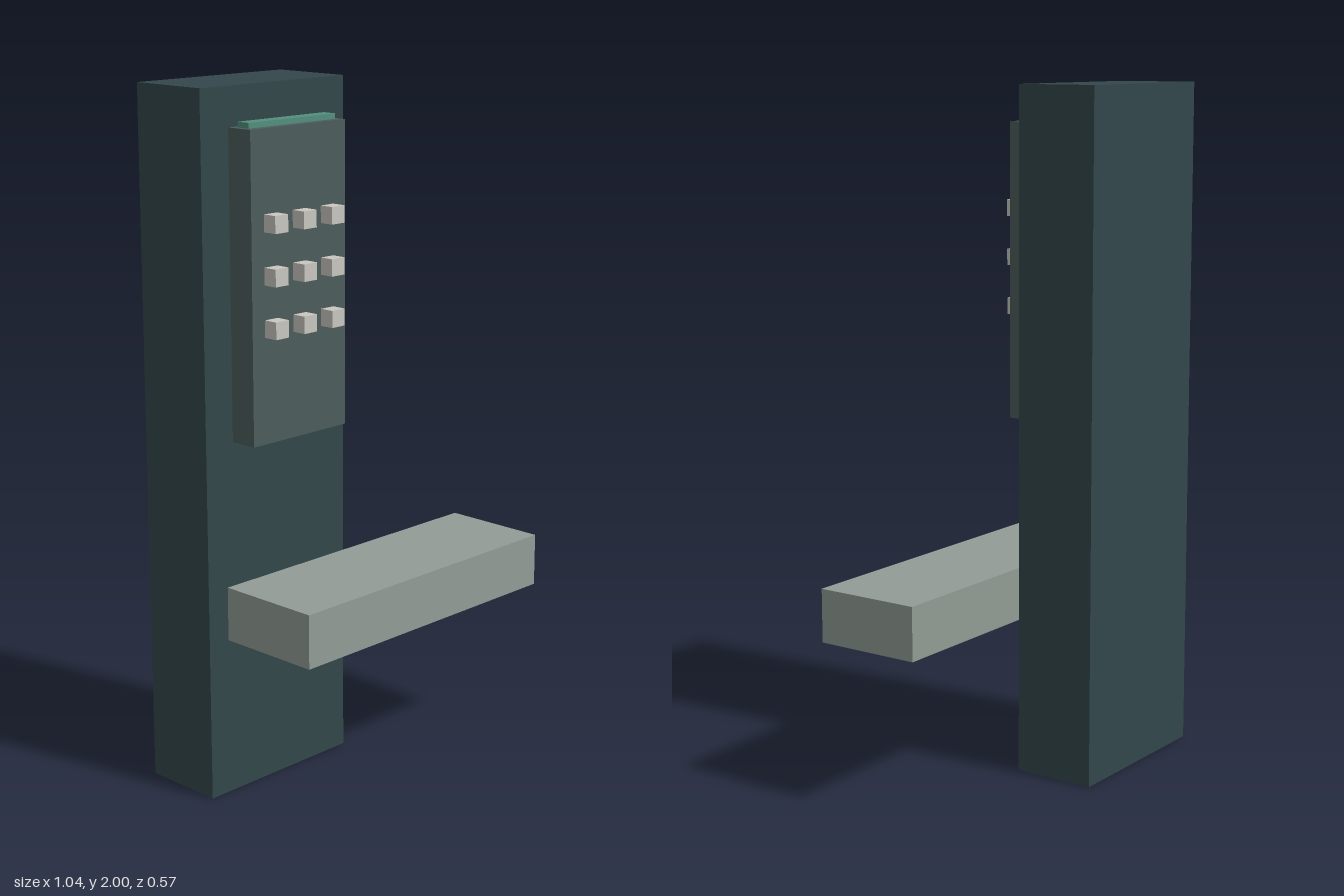
import * as THREE from 'three';

const paint = (color) => new THREE.MeshStandardMaterial({ color });

// Box from its lower and upper bounds on each axis
function block(name, [x0, x1], [y0, y1], [z0, z1], material) {
  const mesh = new THREE.Mesh(new THREE.BoxGeometry(x1 - x0, y1 - y0, z1 - z0), material);
  mesh.position.set((x0 + x1) / 2, (y0 + y1) / 2, (z0 + z1) / 2);
  mesh.name = name;
  return mesh;
}

export function createModel() {
  const model = new THREE.Group();
  model.name = 'keypadDoorLock';

  // Tall back plate and the lever that reaches past its side
  model.add(block('backPlate', [-0.518, 0.016], [0, 2], [-0.284, -0.036], paint(0x33474b)));
  model.add(block('leverHandle', [-0.447, 0.518], [0.46, 0.616], [-0.036, 0.284], paint(0x929c95)));

  // Keypad panel standing just clear of the plate, with a strip along its top
  const keypad = new THREE.Group();
  keypad.name = 'keypad';
  keypad.add(block('keypadPanel', [-0.43, -0.075], [1.036, 1.893], [-0.024, 0.06], paint(0x4c5d5b)));
  keypad.add(block('topStrip', [-0.413, -0.09], [1.85, 1.908], [-0.005, 0.037], paint(0x54907f)));

  // Three by three grid of keys
  const keyPaint = paint(0xcac7c0);
  const half = 0.024;
  for (let row = 0; row < 3; row++) {
    for (let col = 0; col < 3; col++) {
      const x = -0.253 + (col - 1) * 0.107;
      const y = 1.5 - (row - 1) * 0.143;
      keypad.add(block(`key${row * 3 + col + 1}`, [x - half, x + half], [y - half, y + half], [0.055, 0.103], keyPaint));
    }
  }
  model.add(keypad);
  return model;
}
